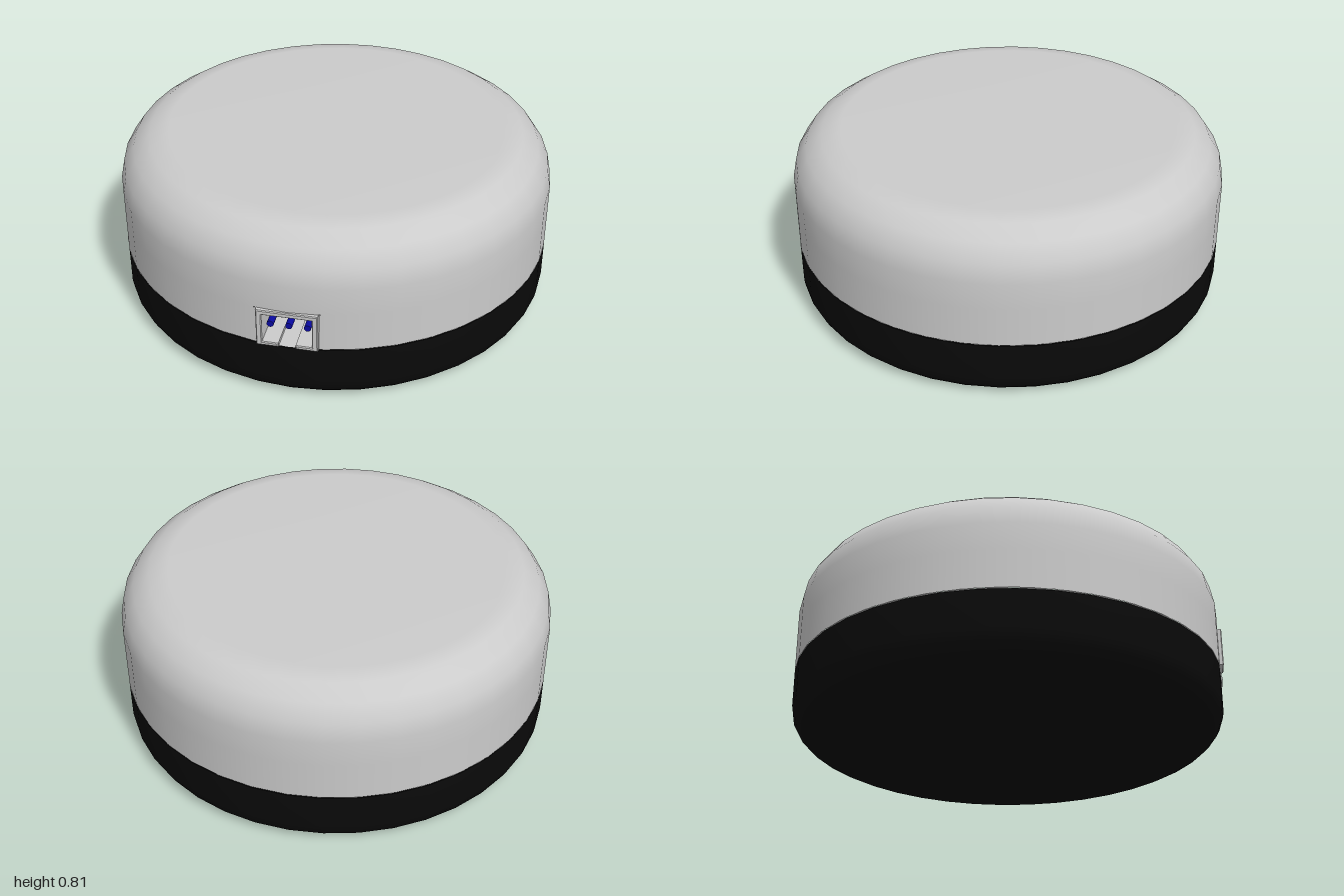
import * as THREE from 'three';
import { toCreasedNormals } from 'three/addons/utils/BufferGeometryUtils.js';

const R = 0.995, SIDES = 40, Z0 = -0.005;
const SEAM = 0.275, SOCKET_TOP = 0.455, SOCKET_HALF = 0.132;

const grey = new THREE.MeshStandardMaterial({ color: 0xcccccc });
const greyThin = new THREE.MeshStandardMaterial({ color: 0xcccccc, side: THREE.DoubleSide });
const black = new THREE.MeshStandardMaterial({ color: 0x0a0a0a });
const blue = new THREE.MeshStandardMaterial({ color: 0x0a0aa0 });

const v = (x, y) => new THREE.Vector2(x, y);

// points of a rounded corner
function fillet(cx, cy, r, from, to, steps) {
  const pts = [];
  for (let i = 0; i <= steps; i++) {
    const a = from + (to - from) * i / steps;
    pts.push(v(cx + r * Math.cos(a), cy + r * Math.sin(a)));
  }
  return pts;
}

function add(parent, name, geometry, material, x = 0, y = 0, z = 0) {
  const mesh = new THREE.Mesh(geometry, material);
  mesh.name = name;
  mesh.position.set(x, y, z);
  parent.add(mesh);
  return mesh;
}

const turned = (pts, start, length, sides) =>
  new THREE.LatheGeometry(pts, sides, start, length);

export function createModel() {
  const model = new THREE.Group();
  model.name = 'roundHousing';

  // Dark base with a rounded lower edge
  const base = [v(0, 0), ...fillet(R - 0.1, 0.1, 0.1, -Math.PI / 2, 0, 5), v(R, SEAM - 0.005), v(0, SEAM - 0.005)];
  add(model, 'base', toCreasedNormals(turned(base, 0, Math.PI * 2, SIDES), 0.7), black, 0, 0, Z0);

  // Domed lid
  const lid = [v(R, SOCKET_TOP), ...fillet(R - 0.225, 0.58, 0.225, 0, Math.PI / 2, 4), v(0, 0.805)];
  add(model, 'lid', turned(lid, 0, Math.PI * 2, SIDES), grey, 0, 0, Z0);

  // Lid wall, open at the front for the socket
  const wall = [v(R, SEAM), v(R, SOCKET_TOP)];
  const step = Math.PI * 2 / SIDES, gap = Math.asin(SOCKET_HALF / R);
  add(model, 'lidWall', turned(wall, step, Math.PI * 2 - 2 * step, SIDES - 2), greyThin, 0, 0, Z0);
  for (const start of [gap, -step])
    add(model, 'lidWallEnd', turned(wall, start, step - gap, 1), greyThin, 0, 0, Z0);

  // Underside of the lid
  const underside = new THREE.RingGeometry(0.8, R, SIDES, 1, Math.PI * 1.5 + step, Math.PI * 2 - 2 * step);
  add(model, 'lidUnderside', underside.rotateX(Math.PI / 2).rotateY(Math.PI), greyThin, 0, SEAM, Z0)
    .rotation.y = Math.PI;

  // Socket housing with a keying slot in its floor
  const socket = new THREE.Group();
  socket.name = 'socket';
  const w = SOCKET_HALF, iw = 0.107, slot = 0.037, floor = 0.293, roof = 0.432;
  const outline = new THREE.Shape([
    v(slot, SEAM), v(w, SEAM), v(w, SOCKET_TOP), v(-w, SOCKET_TOP), v(-w, SEAM), v(-slot, SEAM),
    v(-slot, floor), v(-iw, floor), v(-iw, roof), v(iw, roof), v(iw, floor), v(slot, floor),
  ]);
  const frame = new THREE.ExtrudeGeometry(outline, {
    depth: 0.21, bevelEnabled: true, bevelSegments: 1, bevelSize: 0.004, bevelThickness: 0.004, bevelOffset: -0.004,
  });
  add(socket, 'socketFrame', frame, grey, 0, 0, 0.786);
  add(socket, 'socketBack', new THREE.BoxGeometry(2 * w, SOCKET_TOP - SEAM, 0.02), grey, 0, (SOCKET_TOP + SEAM) / 2, 0.785);

  // Contact pins
  const pin = new THREE.CylinderGeometry(0.015, 0.015, 0.17, 16).rotateX(Math.PI / 2);
  for (const x of [-0.08, 0, 0.08]) add(socket, 'pin', pin, blue, x, 0.36, 0.875);
  socket.position.x = -0.002;
  model.add(socket);

  return model;
}
